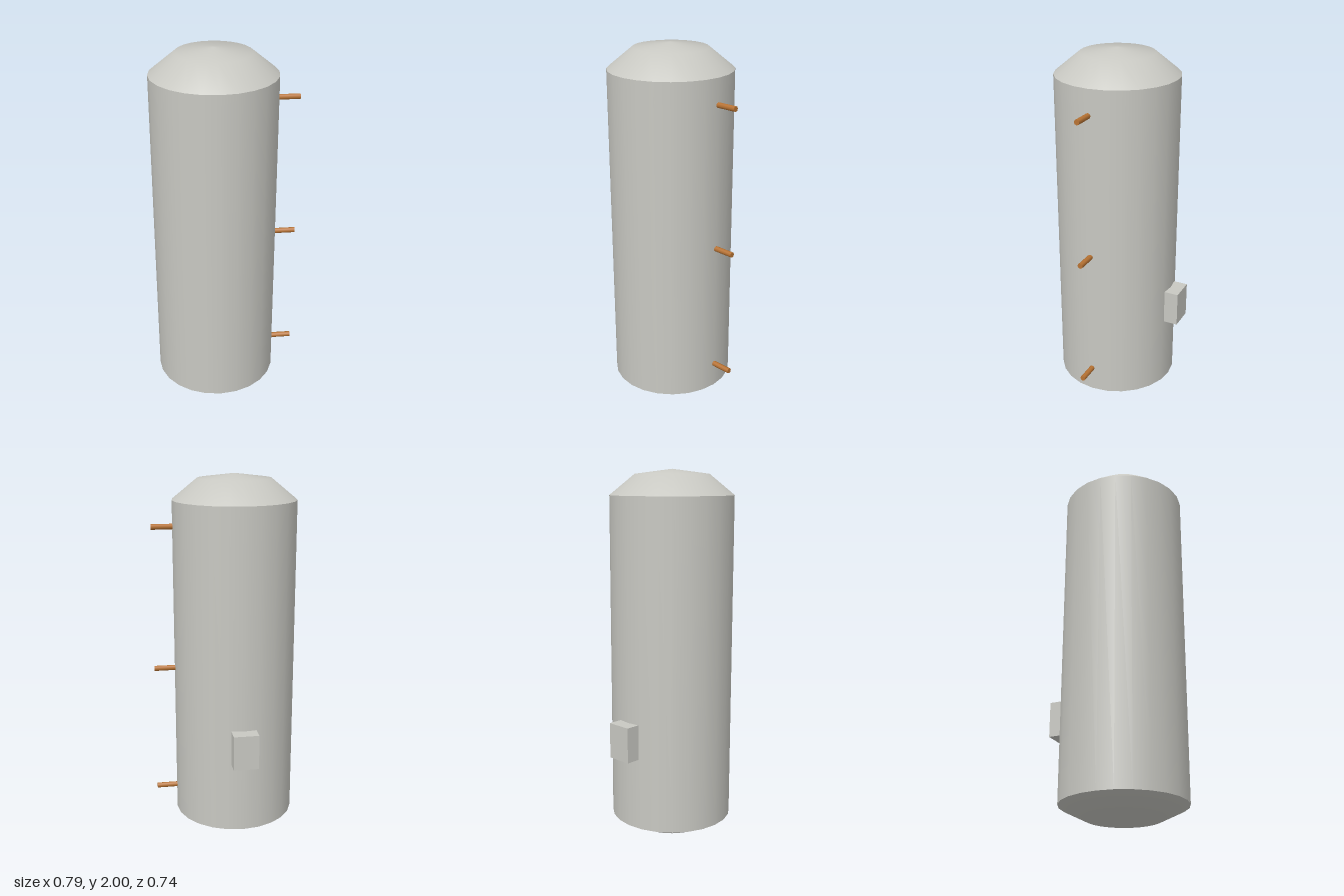
import * as THREE from 'three';

const paintedSteel = new THREE.MeshStandardMaterial({ color: 0xc8c8c2 });
paintedSteel.name = 'paintedSteel';
const copper = new THREE.MeshStandardMaterial({ color: 0xb87333 });
copper.name = 'copper';

const CX = -0.058, CZ = 0.034, R = 0.336;

export function createModel() {
  const model = new THREE.Group();
  model.name = 'storageTank';

  const add = (name, geometry, material, x, y, z) => {
    const mesh = new THREE.Mesh(geometry, material);
    mesh.name = name;
    mesh.position.set(x, y, z);
    model.add(mesh);
    return mesh;
  };

  // Tank: separate lathes keep the rims sharp; profiles run upwards
  const lathe = (name, points) => add(name,
    new THREE.LatheGeometry(points.map(([r, y]) => new THREE.Vector2(r, y)), 24),
    paintedSteel, CX, 0, CZ);
  lathe('bottomDome', [[0, 0], [0.2, 0.006], [R, 0.073]]);
  lathe('tankBody', [[R, 0.073], [R, 1.863]]);
  lathe('topDome', [[R, 1.863], [0.2, 1.974], [0, 2]]);

  // Pipe stubs on the left side
  for (const y of [0.215, 0.936, 1.725]) {
    const x0 = 0.24, x1 = 0.392;
    const pipe = add('pipe', new THREE.CylinderGeometry(0.015, 0.015, x1 - x0, 8),
      copper, (x0 + x1) / 2, y, CZ);
    pipe.rotation.z = -Math.PI / 2;
  }

  // Control box on the back
  add('controlBox', new THREE.BoxGeometry(0.138, 0.194, 0.112), paintedSteel, CX, 0.567, -0.316);

  return model;
}
